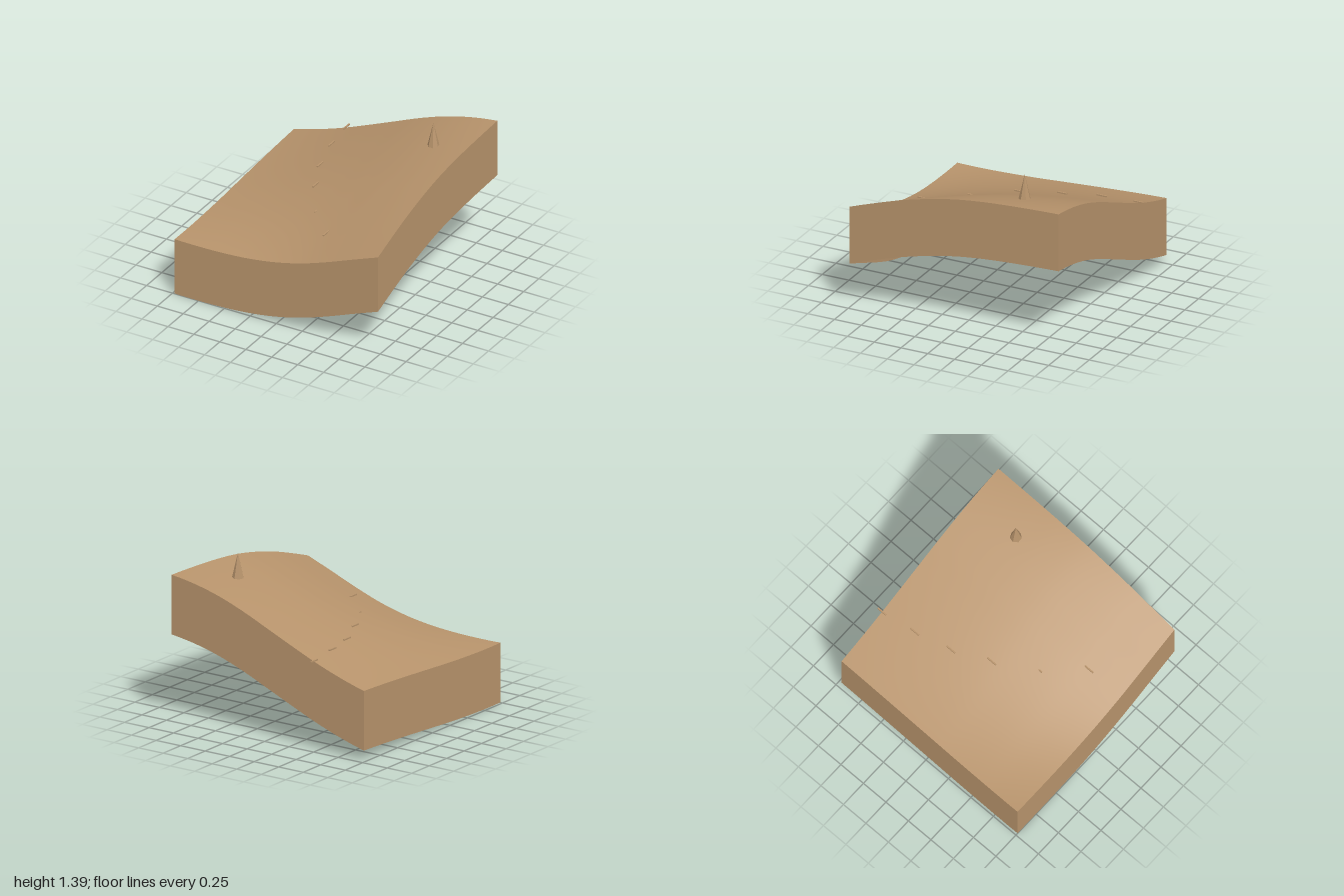
import * as THREE from 'three';

const HALF = 0.98;            // half width in x
const BACK = -0.955, FRONT = 1;
const DEPTH = 0.52;           // height of the side walls

// Surface heights along the four edges, evenly spaced (x: left to right, z: back to front)
const backEdge = [0.61, 0.68, 0.766, 0.866, 0.97, 1.073, 1.16, 1.222, 1.26];
const frontEdge = [0.523, 0.521, 0.528, 0.548, 0.587, 0.648, 0.732, 0.827, 0.92];
const lowEdge = [0.61, 0.6, 0.587, 0.572, 0.556, 0.54, 0.529, 0.522, 0.523];
const highEdge = [1.26, 1.252, 1.24, 1.222, 1.192, 1.144, 1.082, 1.005, 0.92];

// Smooth cubic through evenly spaced samples, t in 0..1
function sample(a, t) {
  const n = a.length - 1;
  const i = Math.min(n - 1, Math.max(0, Math.floor(t * n)));
  const f = t * n - i;
  const p1 = a[i], p2 = a[i + 1];
  const p0 = i > 0 ? a[i - 1] : 3 * a[0] - 3 * a[1] + a[2];
  const p3 = i < n - 1 ? a[i + 2] : 3 * a[n] - 3 * a[n - 1] + a[n - 2];
  return p1 + 0.5 * f * (p2 - p0 + f * (2 * p0 - 5 * p1 + 4 * p2 - p3 + f * (3 * (p1 - p2) + p3 - p0)));
}

// Hillside height: blend of the four edges with a slight swell in the middle
function height(x, z) {
  const u = (x + HALF) / (2 * HALF), v = (z - BACK) / (FRONT - BACK);
  const mix = THREE.MathUtils.lerp;
  const alongZ = mix(sample(backEdge, u), sample(frontEdge, u), v);
  const alongX = mix(sample(lowEdge, v), sample(highEdge, v), u);
  const corners = mix(mix(backEdge[0], backEdge[8], u), mix(frontEdge[0], frontEdge[8], u), v);
  return alongZ + alongX - corners + 0.022 * Math.sin(Math.PI * u) * Math.sin(Math.PI * v);
}

export function createModel() {
  const group = new THREE.Group();
  const earth = new THREE.MeshStandardMaterial({ color: 0xb8946c });
  earth.name = 'tan earth';
  earth.side = THREE.DoubleSide;

  const add = (name, geometry, x = 0, y = 0, z = 0) => {
    const mesh = new THREE.Mesh(geometry, earth);
    mesh.name = name;
    mesh.position.set(x, y, z);
    group.add(mesh);
    return mesh;
  };

  // Lift the vertices of a flat sheet onto the hillside
  const drape = (geometry) => {
    const p = geometry.attributes.position;
    for (let i = 0; i < p.count; i++) {
      const drop = p.getY(i) < -0.1 ? DEPTH : 0;
      p.setY(i, height(p.getX(i), p.getZ(i)) - drop);
    }
    geometry.computeVertexNormals();
    return geometry;
  };

  const length = FRONT - BACK, midZ = (FRONT + BACK) / 2;

  // Sloping ground
  add('hillside', drape(new THREE.PlaneGeometry(2 * HALF, length, 64, 64)
    .rotateX(-Math.PI / 2).translate(0, 0, midZ)));

  // Four skirt walls, open underneath
  const walls = [
    ['frontWall', 2 * HALF, 0, 0, FRONT],
    ['leftWall', length, Math.PI / 2, HALF, midZ],
    ['backWall', 2 * HALF, Math.PI, 0, BACK],
    ['rightWall', length, -Math.PI / 2, -HALF, midZ],
  ];
  for (const [name, width, turn, x, z] of walls) {
    add(name, drape(new THREE.PlaneGeometry(width, DEPTH, 64, 1)
      .translate(0, -DEPTH / 2, 0).rotateY(turn).translate(x, 0, z)));
  }

  // Seven-sided spike near the top of the slope
  const spike = new THREE.ConeGeometry(0.051, 0.22, 7).rotateY(Math.PI).toNonIndexed();
  spike.computeVertexNormals();
  add('spike', spike, 0.65, 1.28, -0.468);

  // Row of small rods following one level across the slope
  const rods = [
    [-0.475, 0.78, -0.955], [-0.43, 0.79, -0.632], [-0.345, 0.78, -0.305],
    [-0.2, 0.787, 0.018], [0.01, 0.767, 0.345], [0.285, 0.786, 0.67],
  ];
  const rod = new THREE.BoxGeometry(0.012, 0.012, 0.093);
  rods.forEach(([x, y, z], i) => add(`rod${i + 1}`, rod, x, y, z));

  return group;
}
